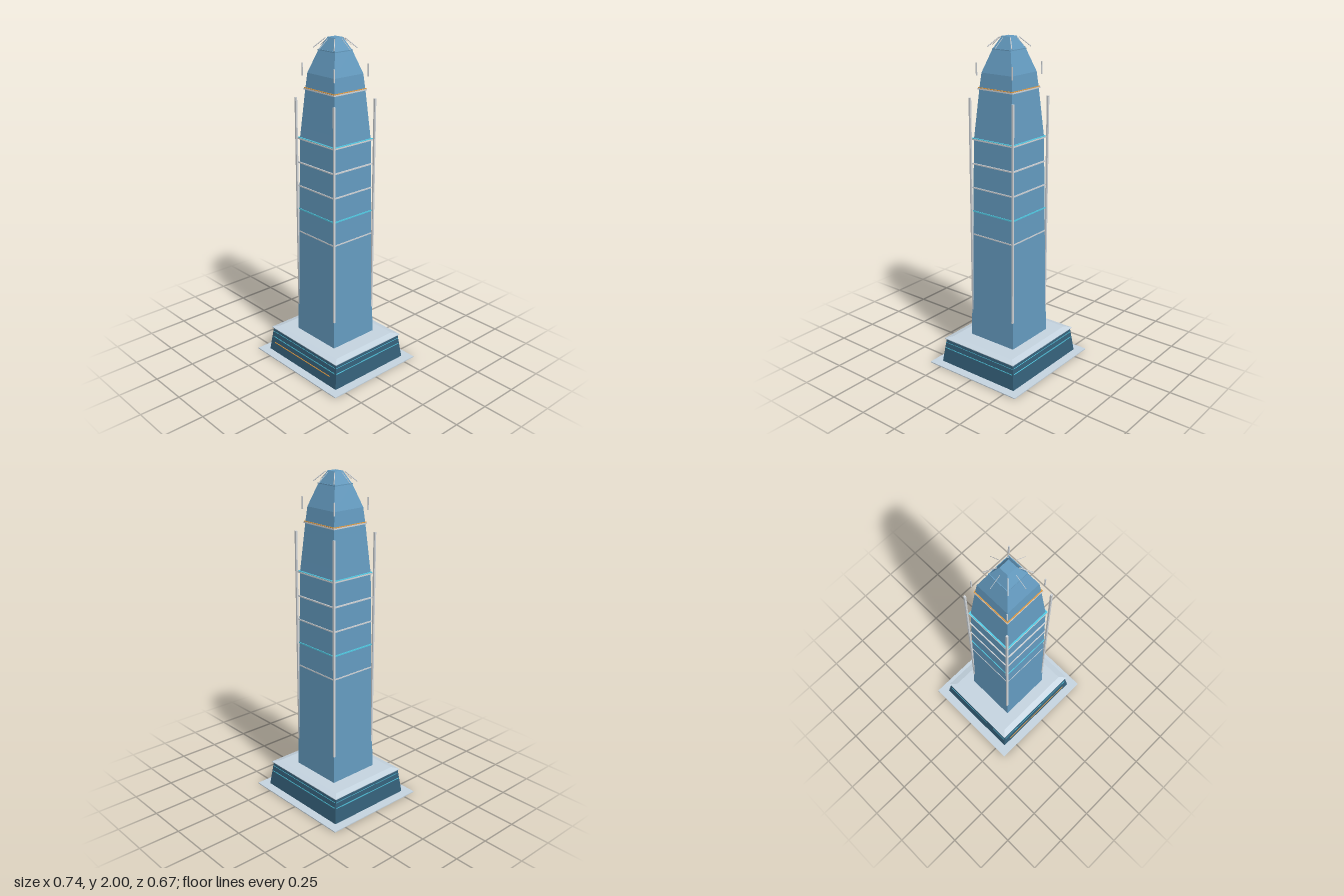
import * as THREE from 'three';

export function createModel() {
  const root = new THREE.Group();
  const paint = (name, color) => {
    const m = new THREE.MeshStandardMaterial({ color });
    m.name = name;
    return m;
  };
  const glass = paint('blue glass', 0x649bc0);
  const dark = paint('dark podium glass', 0x345f78);
  const stone = paint('pale stone', 0xc4d3df);
  const silver = paint('silver', 0xd0d4d8);
  const cyan = paint('cyan light', 0x55d4ee);
  const amber = paint('amber light', 0xe09a40);

  const add = (name, geometry, material, parent = root) => {
    const mesh = new THREE.Mesh(geometry, material);
    mesh.name = name;
    parent.add(mesh);
    return mesh;
  };
  const box = (name, w, h, d, x, y, z, material, parent) => {
    const mesh = add(name, new THREE.BoxGeometry(w, h, d), material, parent);
    mesh.position.set(x, y, z);
    return mesh;
  };

  // Stack of rectangular sections [y, half width, half depth], closed at both ends
  const loft = (sections) => {
    const p = [];
    const quad = (a, b, c, d) => p.push(...a, ...b, ...c, ...a, ...c, ...d);
    const ring = ([y, w, d]) => [[-w, y, d], [w, y, d], [w, y, -d], [-w, y, -d]];
    const rings = sections.map(ring);
    for (let i = 0; i < rings.length - 1; i++) {
      const a = rings[i], b = rings[i + 1];
      for (let k = 0; k < 4; k++) {
        const n = (k + 1) % 4;
        quad(a[k], a[n], b[n], b[k]);
      }
    }
    const f = rings[0], t = rings[rings.length - 1];
    quad(f[3], f[2], f[1], f[0]);
    quad(t[0], t[1], t[2], t[3]);
    const g = new THREE.BufferGeometry();
    g.setAttribute('position', new THREE.Float32BufferAttribute(p, 3));
    g.computeVertexNormals();
    return g;
  };

  // Plaza, podium and bevelled podium roof
  box('plaza', 0.738, 0.006, 0.666, 0, 0.003, 0, stone);
  add('podium', loft([[0.004, 0.314, 0.28], [0.164, 0.294, 0.259]]), dark);
  add('podiumRoof', loft([[0.16, 0.303, 0.268], [0.164, 0.303, 0.268], [0.174, 0.265, 0.23]]), stone);

  // Light strips on the podium faces
  const strips = new THREE.Group();
  strips.name = 'podiumStrips';
  root.add(strips);
  for (const [y, h] of [[0.1, 0.005], [0.135, 0.0025]]) {
    const inset = y * 0.128;
    for (const s of [-1, 1]) {
      box('longStrip', 0.58, h, 0.004, 0, y, s * (0.2798 - inset), cyan, strips);
      box('shortStrip', 0.004, h, 0.524, s * (0.3138 - inset), y, 0, cyan, strips);
    }
  }
  box('entranceStrip', 0.52, 0.004, 0.004, 0, 0.073, 0.281, amber, strips);

  // Tapering tower with faceted crown
  add('tower', loft([
    [0.17, 0.169, 0.1625], [0.84, 0.1555, 0.15], [1.42, 0.147, 0.141], [1.49, 0.141, 0.135],
    [1.71, 0.122, 0.117], [1.8, 0.113, 0.108], [1.93, 0.068, 0.064], [2, 0.031, 0.028],
  ]), glass);
  box('crownLedge', 0.142, 0.005, 0.133, 0, 1.93, 0, glass);

  // Horizontal bands around the tower, two of them with a light on top
  for (const [y, w, d, material] of [
    [0.84, 0.158, 0.152, silver], [0.985, 0.157, 0.151, cyan], [1.13, 0.156, 0.15, silver],
    [1.275, 0.156, 0.15, silver], [1.42, 0.157, 0.151, silver], [1.424, 0.155, 0.149, cyan],
    [1.71, 0.129, 0.124, silver], [1.714, 0.127, 0.122, amber],
  ]) box('towerBand', w * 2, 0.008, d * 2, 0, y, 0, material);

  // Corner posts and the short pins above them
  for (const x of [-1, 1]) for (const z of [-1, 1]) {
    box('cornerPost', 0.011, 1.315, 0.011, x * 0.162, 1.0025, z * 0.154, silver);
    box('cornerPin', 0.006, 0.072, 0.006, x * 0.133, 1.82, z * 0.127, silver);
  }

  // Eight sloping rods radiating from the crown, thicker on the diagonals
  const up = new THREE.Vector3(0, 1, 0);
  for (let i = 0; i < 8; i++) {
    const a = i * Math.PI / 4;
    const radius = i % 2 ? 0.0028 : 0.0014;
    const at = (r, y) => new THREE.Vector3(Math.cos(a) * r, y, Math.sin(a) * r);
    const inner = at(0.054, 1.996), outer = at(0.122, 1.942);
    const dir = outer.clone().sub(inner);
    const rod = add('crownRod', new THREE.CylinderGeometry(radius, radius, dir.length(), 6), silver);
    rod.position.copy(inner).add(outer).multiplyScalar(0.5);
    rod.quaternion.setFromUnitVectors(up, dir.normalize());
  }
  return root;
}
